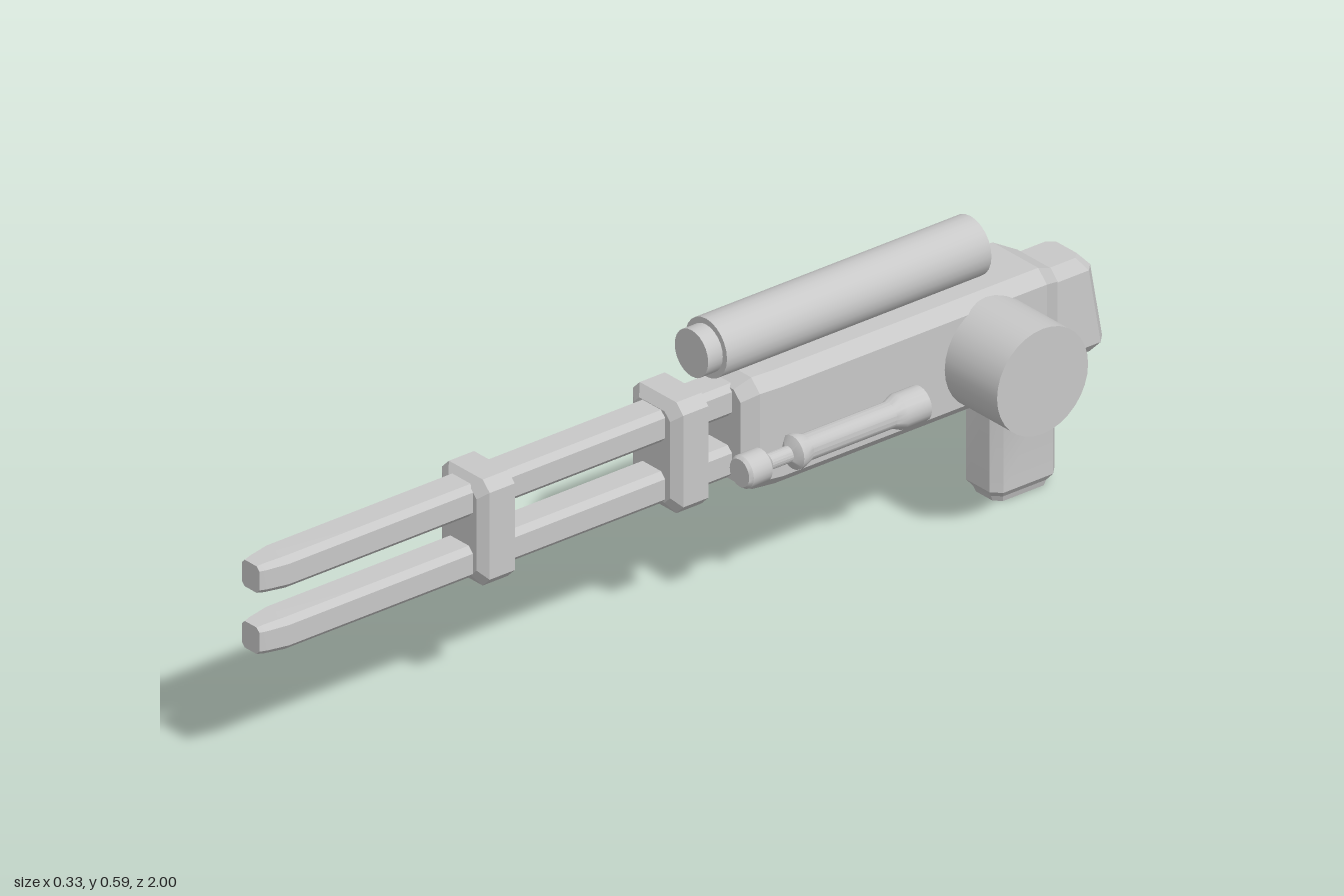
import * as THREE from 'three';
import { toCreasedNormals } from 'three/addons/utils/BufferGeometryUtils.js';

const CX = -0.075; // centre plane of the main assembly

// Chamfered block lofted along +z through sections [z, cx, cy, width, height, chamfer]
function loft(sections) {
  const pos = [], idx = [];
  for (const [z, cx, cy, w, h, c] of sections) {
    const a = w / 2, b = h / 2;
    const ring = [[a, -b + c], [a, b - c], [a - c, b], [c - a, b],
      [-a, b - c], [-a, c - b], [c - a, -b], [a - c, -b]];
    for (const [x, y] of ring) pos.push(cx + x, cy + y, z);
  }
  const last = (sections.length - 1) * 8;
  for (let s = 0; s < last; s += 8) {
    for (let i = 0; i < 8; i++) {
      const j = (i + 1) % 8;
      idx.push(s + i, s + j, s + 8 + j, s + i, s + 8 + j, s + 8 + i);
    }
  }
  for (let i = 1; i < 7; i++) {
    idx.push(0, i + 1, i, last, last + i, last + i + 1);
  }
  const g = new THREE.BufferGeometry();
  g.setAttribute('position', new THREE.Float32BufferAttribute(pos, 3));
  g.setIndex(idx);
  return toCreasedNormals(g, 0.3);
}

// Box along z with bevelled ends
function bevelBox(z0, z1, cy, w, h, c, d = c) {
  return loft([
    [z0, CX, cy, w - 2 * c, h - 2 * c, c * 0.8], [z0 + d, CX, cy, w, h, c],
    [z1 - d, CX, cy, w, h, c], [z1, CX, cy, w - 2 * c, h - 2 * c, c * 0.8],
  ]);
}

// Turned part along z from [radius, z] points, listed from low z to high z
function turned(points, sides) {
  const g = new THREE.LatheGeometry(points.map(([r, z]) => new THREE.Vector2(r, z)), sides);
  g.rotateX(Math.PI / 2);
  return toCreasedNormals(g, 0.6);
}

export function createModel() {
  const group = new THREE.Group();
  const grey = new THREE.MeshStandardMaterial({ color: 0xc8c8c8 });
  grey.name = 'light grey';
  const add = (name, geometry, x = 0, y = 0, z = 0) => {
    const mesh = new THREE.Mesh(geometry, grey);
    mesh.name = name;
    mesh.position.set(x, y, z);
    group.add(mesh);
    return mesh;
  };

  // Main housing
  add('body', loft([
    [-0.875, CX, 0.357, 0.135, 0.19, 0.02],
    [-0.83, CX, 0.357, 0.181, 0.236, 0.025],
    [-0.2, CX, 0.357, 0.178, 0.236, 0.025],
    [-0.15, CX, 0.357, 0.165, 0.232, 0.025],
    [-0.12, CX, 0.357, 0.125, 0.19, 0.02],
  ]));

  // Twin barrels with tapered muzzles
  for (const [name, y] of [['upperBarrel', 0.424], ['lowerBarrel', 0.297]]) {
    add(name, loft([
      [-0.14, CX, y, 0.077, 0.066, 0.012], [0.94, CX, y, 0.077, 0.066, 0.012],
      [0.985, CX, y, 0.06, 0.06, 0.01], [1, CX, y, 0.05, 0.055, 0.008],
    ]));
  }

  // Clamps joining the barrels
  add('rearClamp', bevelBox(-0.05, 0.04, 0.363, 0.145, 0.23, 0.02, 0.015));
  add('frontClamp', bevelBox(0.41, 0.5, 0.361, 0.137, 0.22, 0.02, 0.015));

  // Sight tube
  add('sight', turned([[0, -0.723], [0.06, -0.723], [0.06, -0.09],
    [0.048, -0.09], [0.048, -0.055], [0, -0.055]], 24), CX, 0.532, 0);

  // Side drum
  const drum = add('drum', new THREE.CylinderGeometry(0.109, 0.109, 0.215, 32), 0.0575, 0.355, -0.695);
  drum.rotation.z = -Math.PI / 2;

  // Side handle
  add('sideHandle', turned([[0, -0.51], [0.035, -0.51], [0.035, -0.455], [0.026, -0.435],
    [0.026, -0.235], [0.034, -0.215], [0.034, -0.205], [0.016, -0.195], [0.016, -0.145],
    [0.033, -0.13], [0.033, -0.085], [0.028, -0.078], [0, -0.078]], 20), 0.035, 0.32, 0);

  // Grip, lofted upwards
  const grip = loft([
    [0, CX, 0.818, 0.075, 0.125, 0.014], [0.012, CX, 0.818, 0.082, 0.135, 0.016],
    [0.026, CX, 0.818, 0.103, 0.155, 0.018], [0.24, CX, 0.818, 0.103, 0.155, 0.018],
    [0.262, CX, 0.825, 0.115, 0.165, 0.018],
  ]);
  grip.rotateX(-Math.PI / 2);
  add('grip', grip);

  // Rear block, narrowing towards the top
  const stock = loft([
    [0.252, CX, 0.92, 0.105, 0.12, 0.016], [0.272, CX, 0.92, 0.135, 0.156, 0.02],
    [0.425, CX, 0.911, 0.12, 0.126, 0.018], [0.45, CX, 0.905, 0.085, 0.095, 0.014],
  ]);
  stock.rotateX(-Math.PI / 2);
  add('stock', stock);

  return group;
}
